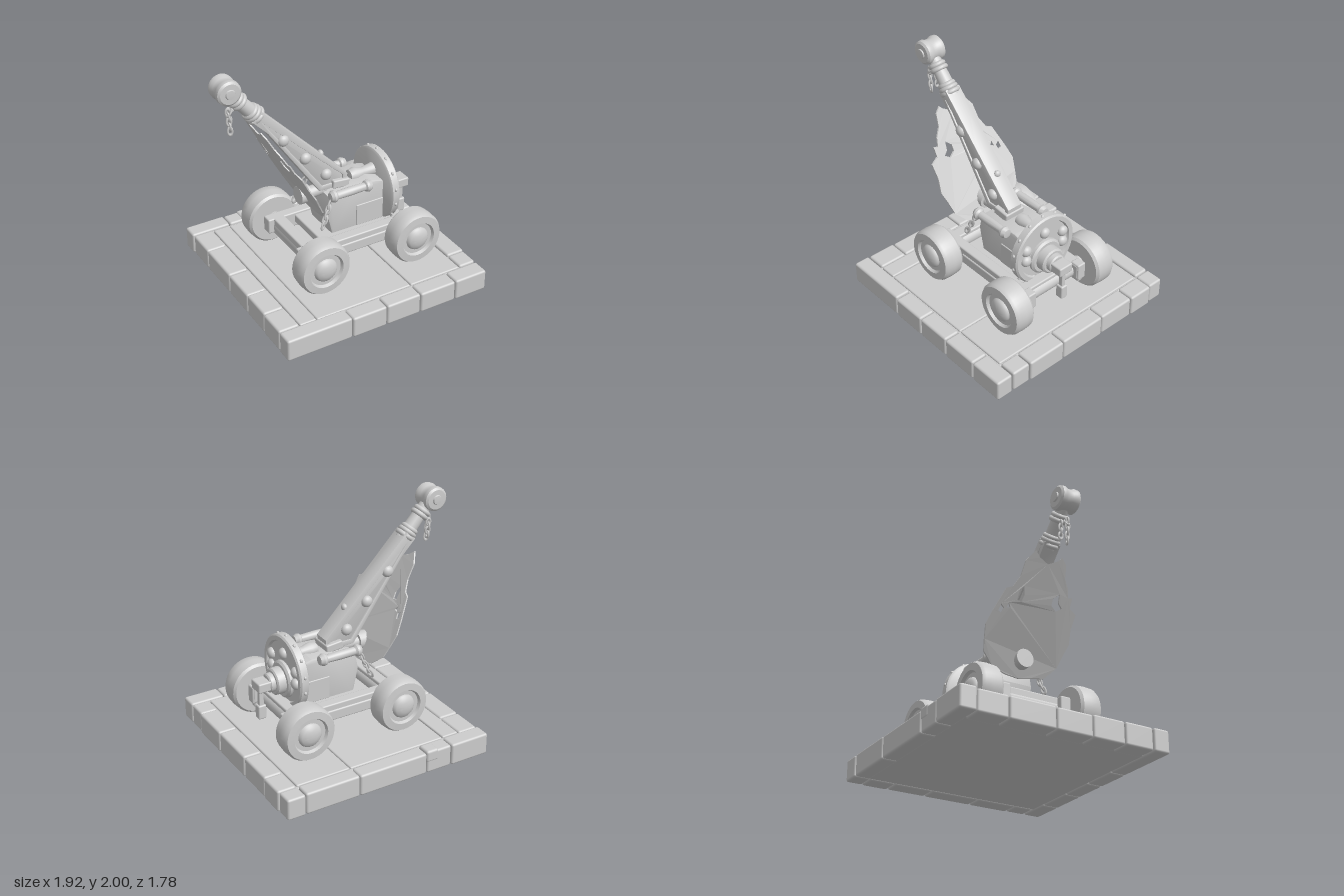
import * as THREE from 'three';
import { toCreasedNormals } from 'three/addons/utils/BufferGeometryUtils.js';
import { RoundedBoxGeometry } from 'three/addons/geometries/RoundedBoxGeometry.js';

const stone = new THREE.MeshStandardMaterial({ color: 0xcccccc });
stone.name = 'pale grey';
const cloth = new THREE.MeshStandardMaterial({ color: 0xcccccc, side: THREE.DoubleSide });
cloth.name = 'pale grey cloth';

const V = (x, y, z) => new THREE.Vector3(x, y, z);
const UP = V(0, 1, 0);

function add(parent, name, geo, x = 0, y = 0, z = 0, mat = stone) {
  const m = new THREE.Mesh(geo, mat);
  m.name = name;
  m.position.set(x, y, z);
  parent.add(m);
  return m;
}
// Rounded box given by its limits on each axis
function block(parent, name, x0, x1, y0, y1, z0, z1, r = 0.012) {
  const geo = new RoundedBoxGeometry(x1 - x0, y1 - y0, z1 - z0, 2, r);
  return add(parent, name, geo, (x0 + x1) / 2, (y0 + y1) / 2, (z0 + z1) / 2);
}
function lathe(points, sides = 40) {
  const geo = new THREE.LatheGeometry(points.map(p => new THREE.Vector2(...p)), sides);
  return toCreasedNormals(geo, 0.6);
}
// Tapered rod between two points
function rod(parent, name, a, b, ra, rb = ra) {
  const geo = new THREE.CylinderGeometry(rb, ra, a.distanceTo(b), 20);
  const m = add(parent, name, geo);
  m.position.copy(a).lerp(b, 0.5);
  m.quaternion.setFromUnitVectors(UP, b.clone().sub(a).normalize());
  return m;
}
function outline(points) {
  return new THREE.Shape(points.map(p => new THREE.Vector2(...p)));
}
// Side profile extruded evenly about z = 0, total width w
function slab(parent, name, shape, w, bevel = 0.01) {
  const geo = new THREE.ExtrudeGeometry(shape, {
    depth: w - 2 * bevel, bevelThickness: bevel, bevelSize: bevel, bevelOffset: -bevel, bevelSegments: 2
  });
  geo.translate(0, 0, bevel - w / 2);
  return add(parent, name, toCreasedNormals(geo, 0.5));
}
function rivet(parent, x, y, z, r, flat) {
  const m = add(parent, 'rivet', new THREE.SphereGeometry(r, 16, 12), x, y, z);
  m.scale[flat] = 0.8;
  return m;
}
function chain(parent, a, b, count) {
  const dir = b.clone().sub(a);
  const step = dir.length() / count;
  for (let i = 0; i < count; i++) {
    const geo = new THREE.TorusGeometry(0.018, 0.008, 6, 12);
    geo.scale(1, step * 0.75 / 0.018, 1);
    geo.rotateY(i % 2 ? Math.PI / 2 : 0.2);
    const m = add(parent, 'chainLink', geo);
    m.position.copy(a).addScaledVector(dir, (i + 0.5) / count);
    m.quaternion.setFromUnitVectors(UP, dir.clone().normalize());
  }
}

function buildBase(g) {
  let seed = 7;
  const jitter = () => ((seed = (seed * 16807) % 2147483647) / 2147483647) * 0.012;
  // Stone kerb around the edge
  const front = [-0.88, -0.31, 0, 0.31, 0.64, 0.94];
  const back = [-0.88, -0.53, -0.3, 0.31, 0.78, 0.94];
  for (let i = 0; i < 5; i++) {
    block(g, 'kerbStone', front[i], front[i + 1] - 0.006, 0.005, 0.192 - jitter(), 0.745, 0.892 - jitter(), 0.018);
    block(g, 'kerbStone', back[i], back[i + 1] - 0.006, 0.005, 0.192 - jitter(), -0.895 + jitter(), -0.755, 0.018);
  }
  const left = [-0.75, -0.49, -0.1, 0.21, 0.49, 0.74];
  const right = [-0.75, -0.53, -0.2, 0.22, 0.57, 0.74];
  for (let i = 0; i < 5; i++) {
    block(g, 'kerbStone', -0.882 + jitter(), -0.7, 0.005, 0.192 - jitter(), left[i], left[i + 1] - 0.006, 0.018);
    block(g, 'kerbStone', 0.785, 0.945 - jitter(), 0.005, 0.192 - jitter(), right[i], right[i + 1] - 0.006, 0.018);
  }
  block(g, 'chippedStone', -0.41, -0.3, 0.1, 0.2, -0.89, -0.77, 0.02);
  // Paving inside the kerb
  block(g, 'pavingBed', -0.72, 0.79, 0.015, 0.165, -0.76, 0.75, 0.005);
  block(g, 'paving', -0.695, -0.55, 0.05, 0.182, -0.74, 0.735);
  block(g, 'paving', -0.545, 0.305, 0.05, 0.178, -0.74, 0.735);
  block(g, 'paving', 0.312, 0.775, 0.05, 0.18, -0.74, 0.735);
}

function buildCarriage(g) {
  const wheel = lathe([[0, -0.09], [0.2, -0.09], [0.218, -0.07], [0.224, 0], [0.22, 0.065], [0.205, 0.09],
    [0.148, 0.094], [0.136, 0.07], [0.1, 0.07], [0.094, 0.085], [0.08, 0.098], [0.045, 0.11], [0, 0.114]]);
  for (const x of [-0.33, 0.52]) {
    for (const s of [-1, 1]) {
      add(g, 'wheel', wheel, x, 0.41, s * 0.427).rotation.x = s * Math.PI / 2;
    }
    rod(g, 'axle', V(x, 0.41, -0.36), V(x, 0.41, 0.36), 0.065);
    block(g, 'crossBeam', x - 0.06, x + 0.04, 0.35, 0.49, -0.3, 0.3);
  }
  for (const s of [-1, 1]) {
    const rail = new THREE.Group();
    rail.name = 'sideRail';
    g.add(rail);
    const z = s * 0.265;
    block(rail, 'rail', -0.44, 0.62, 0.36, 0.49, z - 0.045, z + 0.045);
    block(rail, 'lowerLedge', -0.16, 0.35, 0.35, 0.44, z - 0.055, z + 0.055);
    block(rail, 'railEnd', 0.54, 0.63, 0.35, 0.5, z - 0.04, z + 0.04);
    block(rail, 'endBracket', 0.52, 0.6, 0.3, 0.37, s * 0.28 - 0.025, s * 0.28 + 0.025);
  }
  block(g, 'deck', -0.2, 0.5, 0.4, 0.47, -0.24, 0.24);
}

function buildBody(g) {
  slab(g, 'housing', outline([[-0.07, 0.44], [0.41, 0.44], [0.41, 0.81], [0.3, 0.84], [0.12, 0.83],
    [-0.09, 0.8], [-0.12, 0.66]]), 0.33, 0.015);
  for (const s of [-1, 1]) {
    block(g, 'sidePanel', 0.15, 0.4, 0.47, 0.66, s * 0.165 - 0.008, s * 0.165 + 0.008, 0.006);
    // Knobbed handles along the housing
    const handle = lathe([[0, -0.19], [0.035, -0.188], [0.05, -0.165], [0.048, -0.145], [0.034, -0.13],
      [0.036, 0], [0.032, 0.125], [0.046, 0.135], [0.05, 0.155], [0.036, 0.185], [0, 0.19]], 20);
    add(g, 'handle', handle, 0.075, 0.84, s * 0.2).rotation.z = -Math.PI / 2;
    chain(g, V(-0.11, 0.8, s * 0.2), V(-0.2, 0.6, s * 0.23), 5);
  }
  // Rear drum and top spindle
  rod(g, 'drum', V(-0.29, 0.805, 0), V(-0.2, 0.805, 0), 0.075);
  rod(g, 'drumShaft', V(-0.22, 0.8, 0), V(-0.05, 0.81, 0), 0.05);
  const spindle = lathe([[0, -0.13], [0.05, -0.12], [0.06, -0.07], [0.04, 0], [0.05, 0.08], [0.06, 0.12], [0, 0.13]], 20);
  add(g, 'spindle', spindle, 0.3, 0.84, 0).rotation.z = -Math.PI / 2;
}

function buildDisc(g) {
  const disc = new THREE.Group();
  disc.name = 'gearDisc';
  g.add(disc);
  const plate = lathe([[0, 0], [0.285, 0], [0.303, 0.012], [0.303, 0.07], [0.29, 0.082], [0.255, 0.082],
    [0.245, 0.062], [0, 0.062]], 48);
  add(disc, 'plate', plate, 0.4, 0.715, 0).rotation.z = -Math.PI / 2;
  for (let i = 0; i < 14; i++) {
    const a = i / 14 * Math.PI * 2;
    rivet(disc, 0.44, 0.715 + 0.299 * Math.cos(a), 0.299 * Math.sin(a), 0.016, 'x');
  }
  for (const [y, z] of [[0.87, 0], [0.79, 0.19], [0.79, -0.19], [0.69, 0.19], [0.69, -0.19]]) {
    rivet(disc, 0.467, y, z, 0.046, 'x');
  }
  // Stepped hub
  const hub = lathe([[0, 0], [0.152, 0], [0.152, 0.03], [0.135, 0.045], [0.11, 0.045], [0.108, 0.11],
    [0.095, 0.12], [0.078, 0.12], [0.076, 0.155], [0.065, 0.165], [0, 0.165]], 32);
  add(disc, 'hub', hub, 0.455, 0.65, 0).rotation.z = -Math.PI / 2;
  // Crank with hanging grip
  block(disc, 'crankHead', 0.6, 0.72, 0.61, 0.69, -0.065, 0.065);
  block(disc, 'crankStem', 0.655, 0.695, 0.44, 0.63, -0.018, 0.018, 0.006);
  block(disc, 'crankGrip', 0.64, 0.71, 0.36, 0.48, -0.032, 0.032);
}

function buildArm(g) {
  const arm = new THREE.Group();
  arm.name = 'throwingArm';
  g.add(arm);
  const edge = [[-0.7, 1.605], [-0.574, 1.476], [-0.13, 0.83], [0.12, 0.82], [0.124, 0.92], [-0.616, 1.675]];
  slab(arm, 'armCore', outline(edge), 0.115);
  const frame = outline(edge);
  frame.holes.push(new THREE.Path([[-0.63, 1.595], [-0.55, 1.49], [-0.105, 0.87], [0.08, 0.87], [0.08, 0.92]]
    .map(p => new THREE.Vector2(...p))));
  slab(arm, 'armFrame', frame, 0.14, 0.006);
  for (const s of [-1, 1]) {
    for (const [x, y] of [[-0.445, 1.38], [-0.255, 1.165], [-0.07, 0.965]]) rivet(arm, x, y, s * 0.062, 0.048, 'z');
  }
  rivet(arm, -0.085, 1.13, 0, 0.03, 'x');
  const foot = block(arm, 'armFoot', -0.02, 0.13, 0.82, 0.89, -0.095, 0.095);
  foot.rotation.z = -0.1;
  // Neck with wrapped rope
  rod(arm, 'neck', V(-0.62, 1.6, 0), V(-0.85, 1.86, 0), 0.062, 0.05);
  const along = V(-0.23, 0.26, 0).normalize();
  for (const [x, y, r] of [[-0.64, 1.625, 0.062], [-0.665, 1.65, 0.06], [-0.685, 1.672, 0.054], [-0.775, 1.775, 0.056], [-0.8, 1.8, 0.052]]) {
    const wrap = add(arm, 'ropeWrap', new THREE.TorusGeometry(r, 0.02, 10, 24), x, y, 0);
    wrap.quaternion.setFromUnitVectors(V(0, 0, 1), along);
  }
  // Pulley at the tip
  const pulley = lathe([[0, -0.103], [0.035, -0.1], [0.04, -0.09], [0.08, -0.088], [0.097, -0.075], [0.1, -0.045],
    [0.088, -0.022], [0.088, 0.022], [0.1, 0.045], [0.097, 0.075], [0.08, 0.088], [0.04, 0.09], [0.035, 0.1], [0, 0.103]]);
  add(arm, 'pulley', pulley, -0.88, 1.9, 0).rotation.x = Math.PI / 2;
  chain(arm, V(-0.82, 1.77, 0.02), V(-0.875, 1.7, 0.02), 2);
  chain(arm, V(-0.875, 1.74, 0.02), V(-0.86, 1.54, 0.02), 5);
  chain(arm, V(-0.85, 1.72, -0.025), V(-0.84, 1.58, -0.025), 4);
}

function buildSail(g) {
  // Torn sheet drawn in z, y and leaned under the arm
  const sheet = outline([[0, 1.46], [0.08, 1.5], [0.11, 1.53], [0.16, 1.49], [0.18, 1.4], [0.23, 1.34], [0.25, 1.28],
    [0.29, 1.29], [0.29, 1.22], [0.36, 1.19], [0.35, 1.08], [0.37, 0.98], [0.34, 0.9], [0.31, 0.8], [0.22, 0.71],
    [0.1, 0.69], [0, 0.67], [-0.12, 0.68], [-0.24, 0.71], [-0.34, 0.8], [-0.36, 0.88], [-0.38, 0.98],
    [-0.35, 1.08], [-0.29, 1.24], [-0.24, 1.26], [-0.2, 1.34], [-0.19, 1.45], [-0.13, 1.53], [-0.08, 1.49]]);
  const tears = [
    [[0.12, 1.25], [0.17, 1.29], [0.18, 1.23], [0.22, 1.2], [0.17, 1.17], [0.12, 1.2]],
    [[-0.13, 1.22], [-0.15, 1.28], [-0.18, 1.25], [-0.18, 1.18], [-0.14, 1.17]],
    [[-0.27, 1.11], [-0.3, 1.13], [-0.31, 1.08], [-0.28, 1.07]],
    [[-0.22, 1.12], [-0.24, 1.15], [-0.25, 1.11]]
  ];
  for (const t of tears) sheet.holes.push(new THREE.Path(t.map(p => new THREE.Vector2(...p))));
  const geo = new THREE.ExtrudeGeometry(sheet, { depth: 0.012, bevelEnabled: false });
  const p = geo.attributes.position;
  for (let i = 0; i < p.count; i++) {
    const z = p.getX(i), y = p.getY(i), t = p.getZ(i);
    p.setXYZ(i, -0.635 + (1.5 - y) * 0.55 + 0.15 * z * z - t, y, z);
  }
  geo.computeVertexNormals();
  add(g, 'sail', geo, 0, 0, 0, cloth);
}

export function createModel() {
  const model = new THREE.Group();
  model.name = 'siegeEngine';
  for (const [name, build] of [['base', buildBase], ['carriage', buildCarriage], ['body', buildBody],
    ['disc', buildDisc], ['arm', buildArm], ['sailGroup', buildSail]]) {
    const part = new THREE.Group();
    part.name = name;
    build(part);
    model.add(part);
  }
  return model;
}
